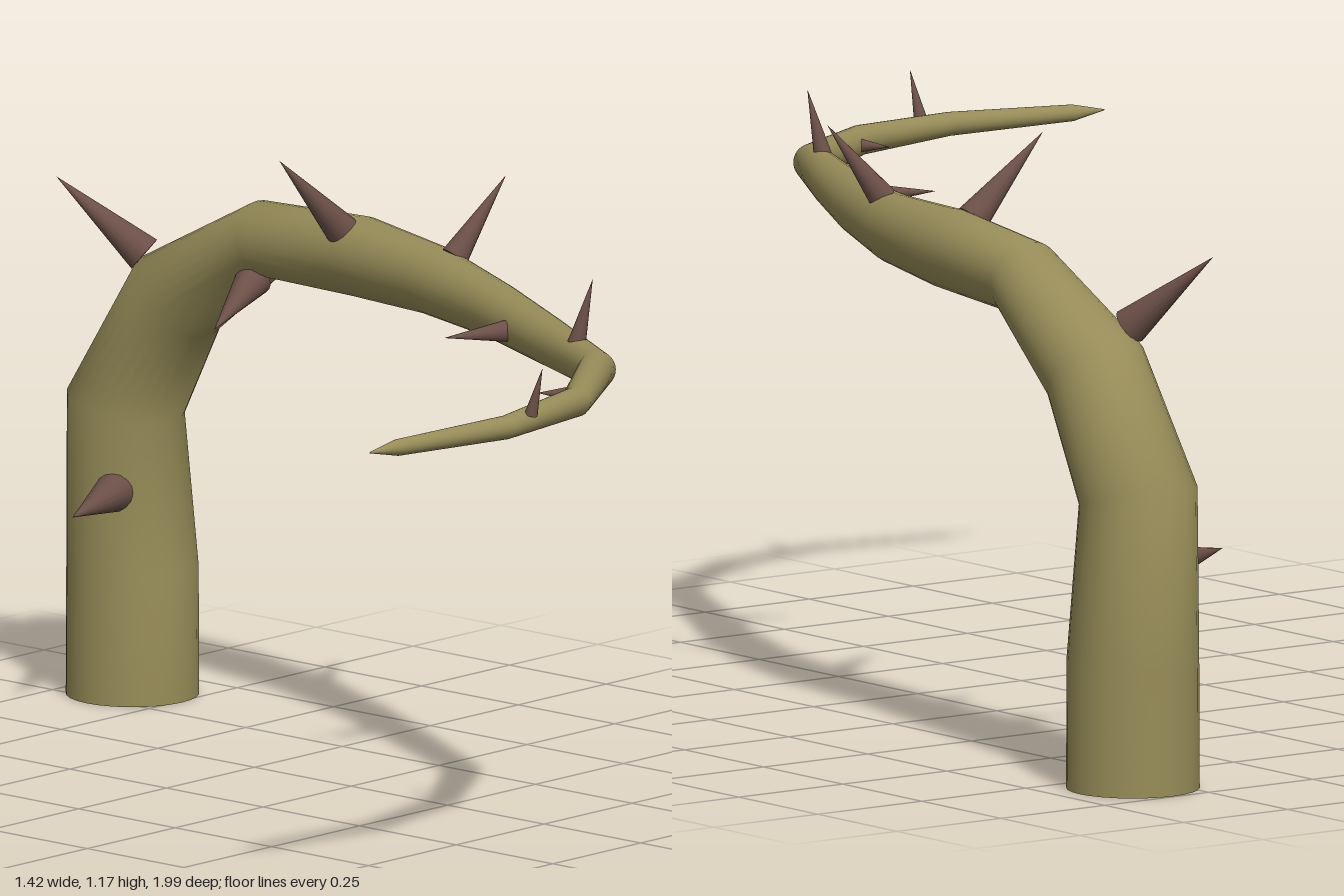
import * as THREE from 'three';

const SIDES = 28;

// Tapered branch: one ring per [x, y, z, radius] station, square to the path
function branchGeometry(stations) {
  const centres = stations.map(([x, y, z]) => new THREE.Vector3(x, y, z));
  const last = centres.length - 1;
  const positions = [], index = [];
  const u = new THREE.Vector3(1, 0, 0);
  centres.forEach((c, i) => {
    const before = c.clone().sub(centres[Math.max(i - 1, 0)]).normalize();
    const after = centres[Math.min(i + 1, last)].clone().sub(c).normalize();
    const t = before.add(after).normalize();
    u.addScaledVector(t, -u.dot(t)).normalize();
    const v = t.clone().cross(u);
    for (let j = 0; j < SIDES; j++) {
      const a = (j / SIDES) * Math.PI * 2;
      const p = c.clone()
        .addScaledVector(u, Math.cos(a) * stations[i][3])
        .addScaledVector(v, Math.sin(a) * stations[i][3]);
      positions.push(p.x, p.y, p.z);
      if (i < last) {
        const k = i * SIDES + j, n = i * SIDES + (j + 1) % SIDES;
        index.push(k, n, n + SIDES, k, n + SIDES, k + SIDES);
      }
    }
  });
  const geometry = new THREE.BufferGeometry();
  geometry.setAttribute('position', new THREE.Float32BufferAttribute(positions, 3));
  geometry.setIndex(index);
  geometry.computeVertexNormals();
  return geometry;
}

// Cone from a base centre to a tip
function makeThorn([base, tip, radius], material) {
  const from = new THREE.Vector3(...base);
  const dir = new THREE.Vector3(...tip).sub(from);
  const length = dir.length();
  const geometry = new THREE.ConeGeometry(radius, length, 16).translate(0, length / 2, 0);
  const mesh = new THREE.Mesh(geometry, material);
  mesh.position.copy(from);
  mesh.quaternion.setFromUnitVectors(new THREE.Vector3(0, 1, 0), dir.normalize());
  mesh.name = 'thorn';
  return mesh;
}

export function createModel() {
  const model = new THREE.Group();
  model.name = 'thornyVine';
  const bark = new THREE.MeshStandardMaterial({ color: 0x978c58 });
  const thornColor = new THREE.MeshStandardMaterial({ color: 0x6b5048 });

  // Upright stem bending forward into a long curving arm
  const stations = [
    [0.582, 0, -0.868, 0.128],
    [0.582, 0.25, -0.868, 0.127],
    [0.583, 0.57, -0.886, 0.115],
    [0.588, 0.795, -0.757, 0.102],
    [0.576, 0.943, -0.517, 0.075],
    [0.537, 0.957, -0.235, 0.078],
    [0.478, 0.956, 0.01, 0.067],
    [0.37, 0.953, 0.27, 0.054],
    [0.245, 0.951, 0.515, 0.046],
    [0.117, 0.95, 0.757, 0.037],
    [-0.115, 0.949, 0.915, 0.029],
    [-0.37, 0.948, 0.966, 0.023],
    [-0.64, 0.947, 0.93, 0.016],
    [-0.71, 0.947, 0.922, 0.001],
  ];
  const vine = new THREE.Mesh(branchGeometry(stations), bark);
  vine.name = 'vine';
  model.add(vine);

  // Flat cut end at the ground
  const foot = new THREE.Mesh(new THREE.CircleGeometry(0.128, SIDES).rotateX(Math.PI / 2), bark);
  foot.position.set(0.582, 0, -0.868);
  foot.name = 'stemBase';
  model.add(foot);

  // Thorns: base, tip, base radius
  const thorns = new THREE.Group();
  thorns.name = 'thorns';
  [
    [[0.49, 0.415, -0.83], [0.265, 0.415, -0.735], 0.04],
    [[0.545, 0.87, -0.52], [0.39, 0.8, -0.482], 0.036],
    [[0.53, 0.88, -0.79], [0.442, 1.025, -0.938], 0.037],
    [[0.497, 1.012, -0.248], [0.345, 1.17, -0.272], 0.033],
    [[0.477, 1.01, 0.062], [0.583, 1.158, 0.098], 0.027],
    [[0.255, 0.95, 0.395], [0.13, 0.95, 0.35], 0.021],
    [[0.163, 0.98, 0.663], [0.182, 1.108, 0.688], 0.018],
    [[-0.068, 0.95, 0.868], [-0.11, 0.95, 0.81], 0.016],
    [[-0.306, 0.963, 0.972], [-0.298, 1.057, 0.995], 0.013],
  ].forEach((t) => thorns.add(makeThorn(t, thornColor)));
  model.add(thorns);

  return model;
}
